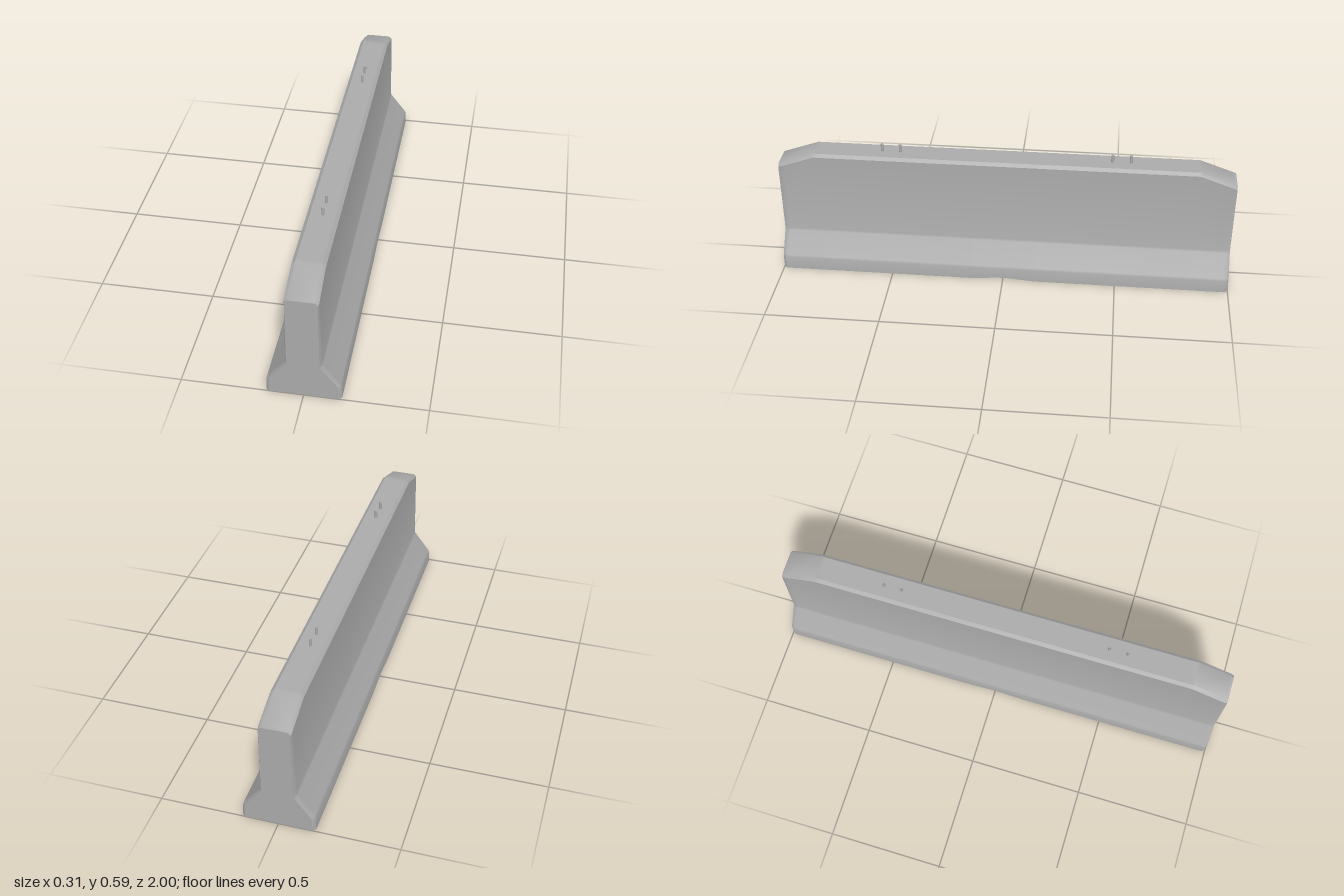
import * as THREE from 'three';
import { toCreasedNormals } from 'three/addons/utils/BufferGeometryUtils.js';

// Half cross-section at z, from the foot up to the top edge
function halfSection(z) {
  const d = Math.abs(z);
  const inset = Math.max(0, (d - 0.988) / 0.012); // rounded end corners
  const top = 0.552 - 0.057 * Math.max(0, (d - 0.84) / 0.16); // sloping ends
  const base = d < 0.1 ? 0.01 : 0; // shallow drain notch
  const side = 0.0665 - 0.006 * (top - 0.552) / 0.375;
  return [
    [0.153 - 0.012 * inset, base],
    [0.150 - 0.010 * inset, 0.058],
    [0.146 - 0.009 * inset, 0.067],
    [0.076 - 0.007 * inset, 0.157],
    [0.072 - 0.006 * inset, 0.168],
    [side - 0.003 * inset, top - 0.012],
    [0.052, top],
  ];
}

// Loft the symmetric section along z and cap both ends
function barrierGeometry() {
  const half = [0.02, 0.14, 0.82, 0.84, 0.975, 0.988, 1];
  const stations = [...half.map((z) => -z).reverse(), ...half];
  const positions = [];
  const index = [];
  let n = 0;
  for (const z of stations) {
    const right = halfSection(z);
    const left = right.map(([x, y]) => [-x, y]).reverse();
    const ring = [...right, ...left];
    n = ring.length;
    for (const [x, y] of ring) positions.push(x, y, z);
  }
  for (let s = 0; s < stations.length - 1; s++) {
    for (let i = 0; i < n; i++) {
      const j = (i + 1) % n;
      const a = s * n + i, b = s * n + j, c = a + n, d = b + n;
      index.push(a, b, c, b, d, c);
    }
  }
  const last = (stations.length - 1) * n;
  for (let i = 0; i < n / 2 - 1; i++) {
    const r0 = i, r1 = i + 1, l0 = n - 1 - i, l1 = n - 2 - i;
    index.push(last + r0, last + r1, last + l1, last + r0, last + l1, last + l0);
    index.push(r0, l1, r1, r0, l0, l1);
  }
  const geometry = new THREE.BufferGeometry();
  geometry.setAttribute('position', new THREE.Float32BufferAttribute(positions, 3));
  geometry.setIndex(index);
  return toCreasedNormals(geometry, 0.68);
}

export function createModel() {
  const model = new THREE.Group();
  model.name = 'concreteBarrier';
  const concrete = new THREE.MeshStandardMaterial({ color: 0xaaaaaa });
  concrete.name = 'concrete grey';

  const body = new THREE.Mesh(barrierGeometry(), concrete);
  body.name = 'barrierBody';
  model.add(body);

  // Two pairs of lifting pegs on the top
  const pegGeometry = new THREE.CylinderGeometry(0.0065, 0.0065, 0.048, 10);
  for (const side of [1, -1]) {
    const pair = new THREE.Group();
    pair.name = side > 0 ? 'frontLiftingPegs' : 'backLiftingPegs';
    for (const z of [0.463, 0.543]) {
      const peg = new THREE.Mesh(pegGeometry, concrete);
      peg.name = 'liftingPeg';
      peg.position.set(0, 0.564, side * z);
      pair.add(peg);
    }
    model.add(pair);
  }
  return model;
}
